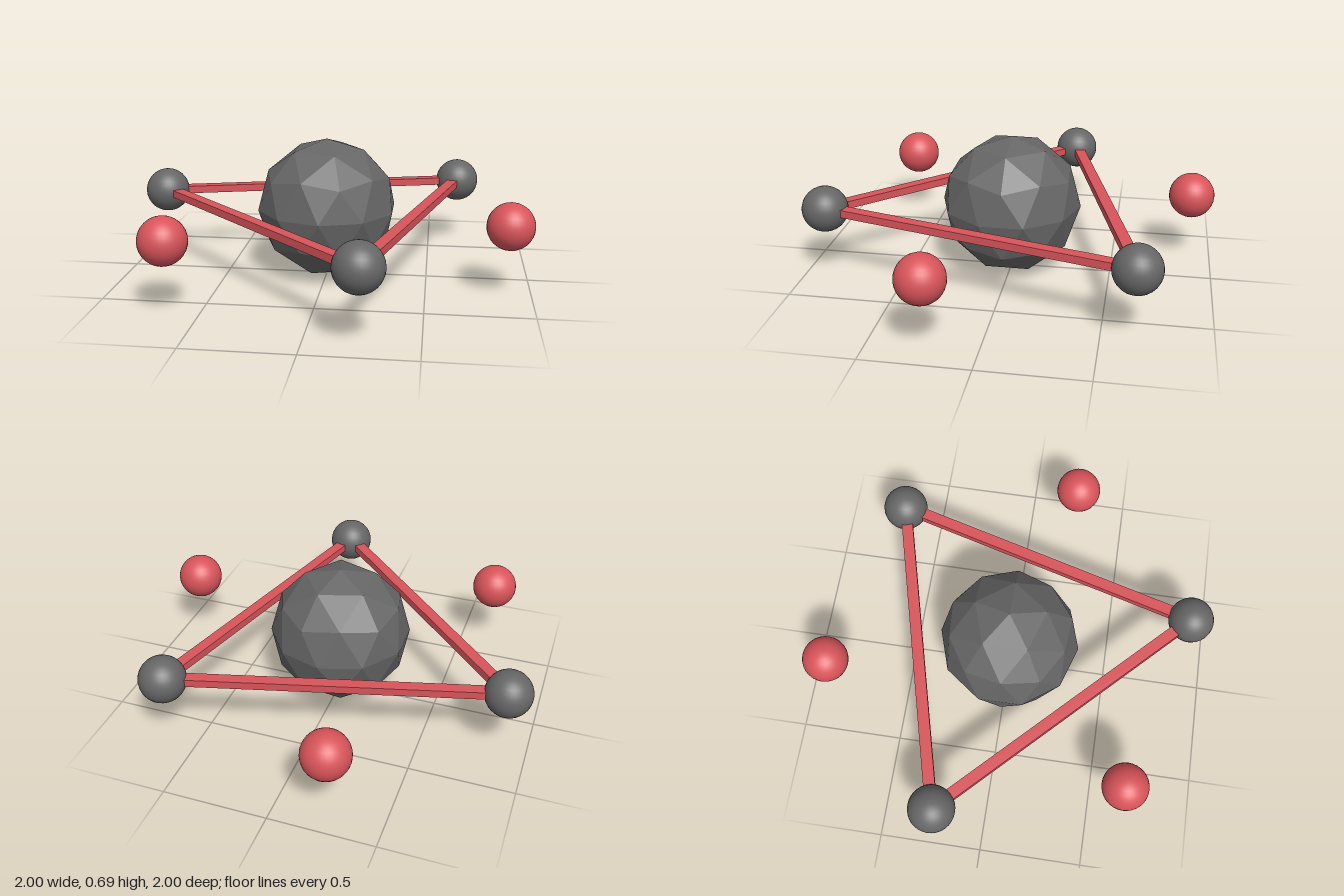
import * as THREE from 'three';

const CENTER_Y = 0.345;   // height of the core and of the orbit plane
const ORBIT = 0.918;      // distance of the outer balls from the axis
const BALL = 0.113;

export function createModel() {
  const model = new THREE.Group();
  model.name = 'orbitModel';

  const darkFlat = new THREE.MeshStandardMaterial({ color: 0x666666, flatShading: true });
  const dark = new THREE.MeshStandardMaterial({ color: 0x666666 });
  const red = new THREE.MeshStandardMaterial({ color: 0xd8545a });

  const add = (name, geometry, material, x, z) => {
    const mesh = new THREE.Mesh(geometry, material);
    mesh.name = name;
    mesh.position.set(x, CENTER_Y, z);
    model.add(mesh);
    return mesh;
  };

  // Faceted core, turned so that a corner points straight up
  const coreGeometry = new THREE.IcosahedronGeometry(CENTER_Y, 1);
  coreGeometry.rotateZ(-Math.atan2(2, 1 + Math.sqrt(5)));
  add('core', coreGeometry, darkFlat, 0, 0);

  const ballGeometry = new THREE.SphereGeometry(BALL, 32, 16);
  const barGeometry = new THREE.BoxGeometry(0.056, 0.038, ORBIT * Math.sqrt(3));

  for (let i = 0; i < 3; i++) {
    const a = THREE.MathUtils.degToRad(15 + i * 120);
    const b = a + Math.PI / 3;
    const ca = Math.cos(a), sa = Math.sin(a);

    // Free red ball, outside the middle of a bar
    add('outerBall' + (i + 1), ballGeometry, red, ORBIT * ca, ORBIT * sa);

    // Dark ball on a corner of the triangle
    add('cornerBall' + (i + 1), ballGeometry, dark, ORBIT * Math.cos(b), ORBIT * Math.sin(b));

    // Triangle bar joining two corner balls
    add('bar' + (i + 1), barGeometry, red, ORBIT / 2 * ca, ORBIT / 2 * sa).rotation.y = -a;
  }

  return model;
}
